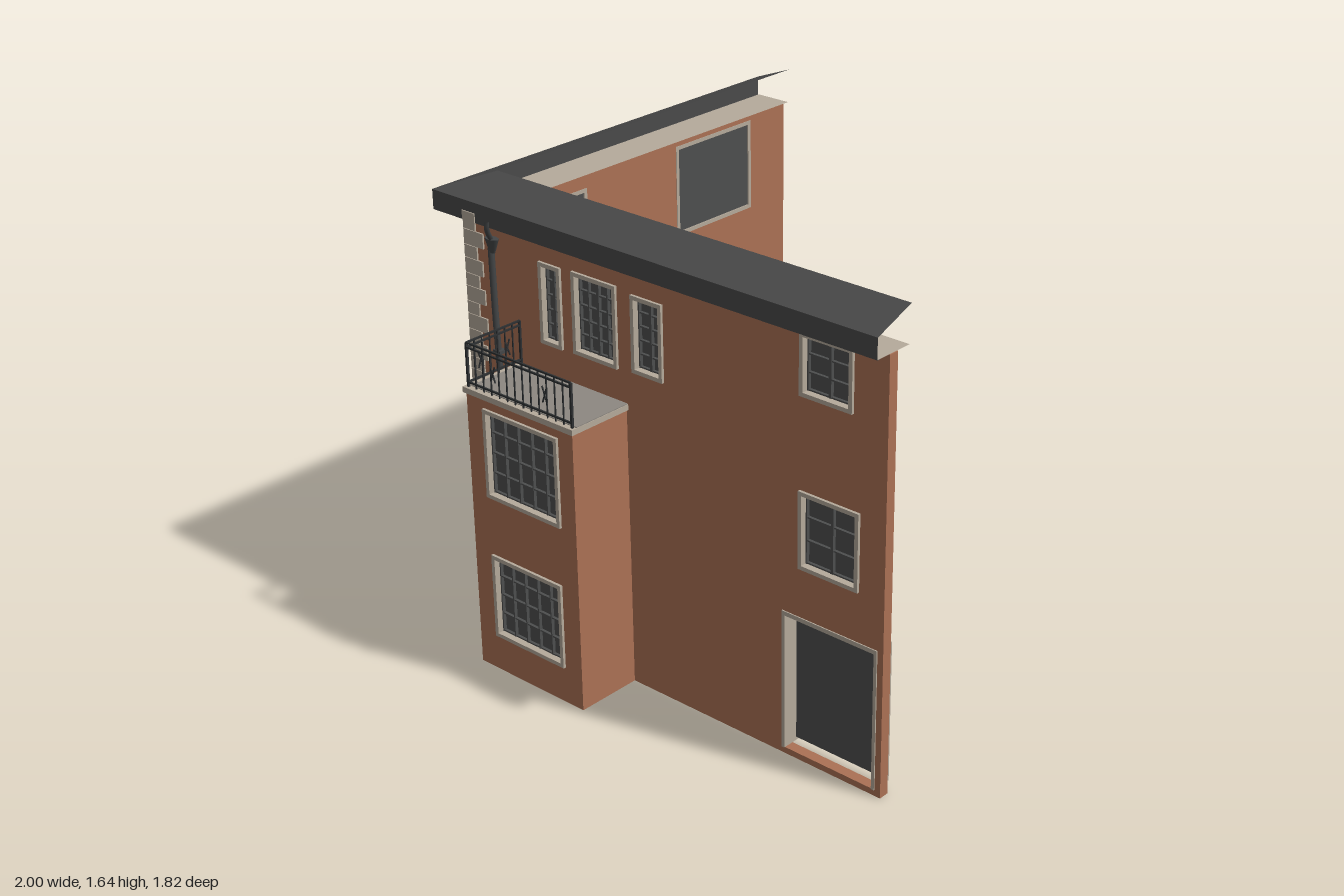
import * as THREE from 'three';

const mat = (name, color, double = false) => {
  const m = new THREE.MeshStandardMaterial({ color });
  m.name = name;
  if (double) m.side = THREE.DoubleSide;
  return m;
};

export function createModel() {
  const brick = mat('terracotta plaster', 0xab7155);
  const stone = mat('pale stone', 0xb5aa9b, true);
  const grey = mat('warm grey', 0x8d8881);
  const slate = mat('roof slate', 0x4a4a4a, true);
  const glass = mat('dark glass', 0x4e4f4f);
  const iron = mat('black iron', 0x2d3032);
  const pipeMat = mat('drain grey', 0x444647);

  const model = new THREE.Group();
  model.name = 'cornerHouseFacade';
  const T = 0.037; // wall thickness

  const add = (parent, name, geo, material) => {
    const m = new THREE.Mesh(geo, material);
    m.name = name;
    parent.add(m);
    return m;
  };
  // box given by its minimum and maximum on each axis
  const box = (parent, name, material, x0, x1, y0, y1, z0, z1) => {
    const m = add(parent, name, new THREE.BoxGeometry(x1 - x0, y1 - y0, z1 - z0), material);
    m.position.set((x0 + x1) / 2, (y0 + y1) / 2, (z0 + z1) / 2);
    return m;
  };
  const group = (name, parent = model) => {
    const g = new THREE.Group();
    g.name = name;
    parent.add(g);
    return g;
  };
  const rect = (P, u0, u1, v0, v1) => new P([[u0, v0], [u1, v0], [u1, v1], [u0, v1]]
    .map(p => new THREE.Vector2(...p)));
  const plate = (u0, u1, v0, v1, holes, depth) => {
    const s = rect(THREE.Shape, u0, u1, v0, v1);
    s.holes = holes.map(h => rect(THREE.Path, ...h));
    return new THREE.ExtrudeGeometry(s, { depth, bevelEnabled: false });
  };

  // window with stone surround, glass and glazing bars; outer wall face is z = 0
  const addWindow = (parent, [u0, u1, v0, v1, cols, rows]) => {
    const g = group('window', parent), f = 0.014;
    const a = u0 + f, b = u1 - f, c = v0 + f, d = v1 - f;
    add(g, 'windowSurround', plate(u0, u1, v0, v1, [[a, b, c, d]], T + 0.012), stone).position.z = -T - 0.002;
    box(g, 'pane', glass, a, b, c, d, -0.034, -0.024);
    for (let i = 0; i <= cols; i++) {
      const u = a + (b - a) * i / cols, w = (i === 0 || i === cols || i * 2 === cols) ? 0.005 : 0.0025;
      box(g, 'glazingBar', glass, Math.max(a, u - w), Math.min(b, u + w), c, d, -0.024, -0.012);
    }
    for (let j = 0; j <= rows; j++) {
      const v = c + (d - c) * j / rows, w = (j === 0 || j === rows) ? 0.005 : 0.0025;
      box(g, 'glazingBar', glass, a, b, Math.max(c, v - w), Math.min(d, v + w), -0.024, -0.014);
    }
  };
  // wall with windows, facing local +z
  const facade = (name, u0, u1, h, windows, extraHoles = []) => {
    const g = group(name), e = 0.004;
    const holes = windows.map(([a, b, c, d]) => [a + e, b - e, c + e, d - e]).concat(extraHoles);
    add(g, name + 'Wall', plate(u0, u1, 0, h, holes, T), brick).position.z = -T;
    windows.forEach(w => addWindow(g, w));
    return g;
  };
  // turns a facade to face -x; its local u becomes world z
  const faceSide = (g, x) => { g.rotation.y = -Math.PI / 2; g.position.x = x; };

  // main walls
  facade('frontFacade', -0.775, 1, 1.51, [
    [-0.43, -0.332, 1.14, 1.425, 2, 5], [-0.28, -0.085, 1.145, 1.43, 4, 5], [-0.02, 0.112, 1.155, 1.42, 2, 5],
    [0.67, 0.872, 1.285, 1.492, 2, 3], [0.668, 0.903, 0.7, 0.968, 2, 3],
  ], [[0.608, 0.97, 0.022, 0.515]]).position.z = 0.655;
  faceSide(facade('sideFacade', -0.91, 0.655 - T, 1.51, [
    [0.13, 0.362, 1.195, 1.455, 4, 4], [0.125, 0.358, 0.67, 0.95, 4, 4], [0.12, 0.358, 0.145, 0.425, 4, 4],
    [-0.722, -0.32, 1.145, 1.485, 4, 3],
  ]), -0.775);

  // blinds behind the side windows
  const blind = (y0, y1, z0, z1) => box(model, 'blind', grey, -0.74, -0.735, y0, y1, z0, z1);
  blind(1.205, 1.39, 0.14, 0.352);
  [[0.68, 0.83, 0.87], [0.155, 0.355, 0.415]].forEach(([y, low, high]) => {
    blind(y, low, 0.134, 0.175);
    blind(y, high, 0.175, 0.22);
  });

  // garage door set behind the wall, with a gap at the ground
  const garage = group('garage');
  box(garage, 'garageDoor', glass, 0.612, 0.966, 0.034, 0.51, 0.586, 0.6);
  [[0.6, 0.612], [0.966, 0.978]].forEach(([a, b]) =>
    box(garage, 'garageJamb', stone, a, b, 0.022, 0.525, 0.584, 0.659));
  box(garage, 'garageLintel', stone, 0.612, 0.966, 0.51, 0.525, 0.584, 0.659);

  // front bay
  facade('frontBay', -0.54, -0.055, 1.015, [
    [-0.46, -0.12, 0.66, 0.98, 5, 4], [-0.455, -0.13, 0.135, 0.445, 5, 4],
  ]).position.z = 0.9;
  faceSide(facade('frontBaySide', 0.655, 0.9 - T, 1.015, [
    [0.69, 0.84, 0.66, 0.975, 2, 4], [0.69, 0.84, 0.14, 0.45, 2, 4],
  ]), -0.54);
  box(model, 'frontBayCheek', brick, -0.055 - T, -0.055, 0, 1.015, 0.655, 0.9 - T);
  box(model, 'frontBalconySlab', stone, -0.55, -0.048, 1.012, 1.032, 0.655, 0.907);
  box(model, 'frontBalconyFloor', grey, -0.53, -0.05, 1.03, 1.035, 0.656, 0.885);

  // side bay, open toward the rear
  faceSide(facade('sideBay', -0.57, -0.215, 0.98, [[-0.49, -0.3, 0.635, 0.905, 2, 4]]), -0.985);
  facade('sideBayFront', -0.985 + T, -0.775, 0.98, [
    [-0.947, -0.782, 0.64, 0.915, 2, 4], [-0.95, -0.784, 0.14, 0.42, 2, 4],
  ]).position.z = -0.215;
  box(model, 'sideBalconySlab', stone, -0.993, -0.775, 0.978, 1.008, -0.577, -0.207);

  // railing from a to b along local x
  const railing = (name, length, y, h) => {
    const g = group(name), n = Math.round(length / 0.036), r = 0.003;
    [h, h - 0.016, 0.016].forEach(v => box(g, 'rail', iron, 0, length, y + v - r, y + v + r, -r, r));
    for (let i = 0; i <= n; i++) {
      const x = length * i / n, w = i % n ? 0.002 : 0.004;
      box(g, 'baluster', iron, x - w, x + w, y, y + h, -w, w);
    }
    [0.25, 0.75].forEach(t => [-1, 1].forEach(s => {
      const m = box(g, 'crossBar', iron, -0.002, 0.002, 0, 0.06, -0.002, 0.002);
      m.position.set(length * t, y + h * 0.5, 0);
      m.rotation.z = s * 0.35;
    }));
    return g;
  };
  railing('frontRailing', 0.475, 1.032, 0.155).position.set(-0.535, 0, 0.893);
  const r1 = railing('frontRailingSide', 0.235, 1.032, 0.155);
  r1.rotation.y = Math.PI / 2;
  r1.position.set(-0.535, 0, 0.893);
  railing('sideRailingFront', 0.205, 1.005, 0.138).position.set(-0.983, 0, -0.218);
  const r2 = railing('sideRailing', 0.35, 1.005, 0.138);
  r2.rotation.y = Math.PI / 2;
  r2.position.set(-0.983, 0, -0.218);

  // corner quoins, alternating long and short
  const quoins = group('quoins');
  for (let i = 0, y = 0.085; y < 1.48; i++) {
    const h = i % 2 ? 0.046 : 0.055, w = (i % 2 ? 0.05 : 0.078) + (i % 3) * 0.004;
    const top = Math.min(1.505, y + h - 0.002), w2 = 0.128 - w;
    box(quoins, 'quoinFront', stone, -0.781, -0.775 + w, y, top, 0.65, 0.661);
    box(quoins, 'quoinSide', stone, -0.781, -0.77, y, top, 0.655 - w2, 0.65);
    y += h;
  }

  // roof sheets: a profile of [outward offset, height] mitred round the corner
  const sheet = (name, profile, material) => {
    const pos = [];
    const line = ([o, y]) => [[-0.71 - o, y, -0.91], [-0.71 - o, y, 0.56 + o], [1, y, 0.56 + o]];
    for (let i = 0; i < profile.length - 1; i++) {
      const a = line(profile[i]), b = line(profile[i + 1]);
      for (let k = 0; k < 2; k++) {
        pos.push(...a[k], ...b[k], ...b[k + 1], ...a[k], ...b[k + 1], ...a[k + 1]);
      }
    }
    const geo = new THREE.BufferGeometry();
    geo.setAttribute('position', new THREE.Float32BufferAttribute(pos, 3));
    geo.computeVertexNormals();
    add(model, name, geo, material);
  };
  sheet('roof', [[0, 1.64], [0.153, 1.582], [0.153, 1.512], [0.14, 1.51]], slate);
  sheet('soffit', [[0.005, 1.513], [0.15, 1.513]], stone);

  // downpipe with swan neck and hopper
  const drain = group('downpipe');
  const tube = (name, pts, r) => add(drain, name, new THREE.TubeGeometry(
    new THREE.CatmullRomCurve3(pts.map(p => new THREE.Vector3(...p))), 24, r, 8), pipeMat);
  tube('swanNeck', [[-0.602, 1.535, 0.716], [-0.61, 1.5, 0.71], [-0.63, 1.455, 0.678]], 0.009);
  const hopper = add(drain, 'hopper', new THREE.CylinderGeometry(0.03, 0.012, 0.05, 8), pipeMat);
  hopper.position.set(-0.63, 1.432, 0.674);
  hopper.scale.z = 0.6;
  tube('pipe', [[-0.638, 1.42, 0.672], [-0.634, 1.2, 0.672], [-0.624, 0.9, 0.672], [-0.62, 0.05, 0.672]], 0.011);
  [0.25, 0.65, 1.05].forEach(y => box(drain, 'pipeBracket', pipeMat, -0.643, -0.609, y, y + 0.012, 0.655, 0.684));
  box(model, 'eavesBlock', stone, -0.72, -0.662, 1.513, 1.545, 0.708, 0.717);

  return model;
}
